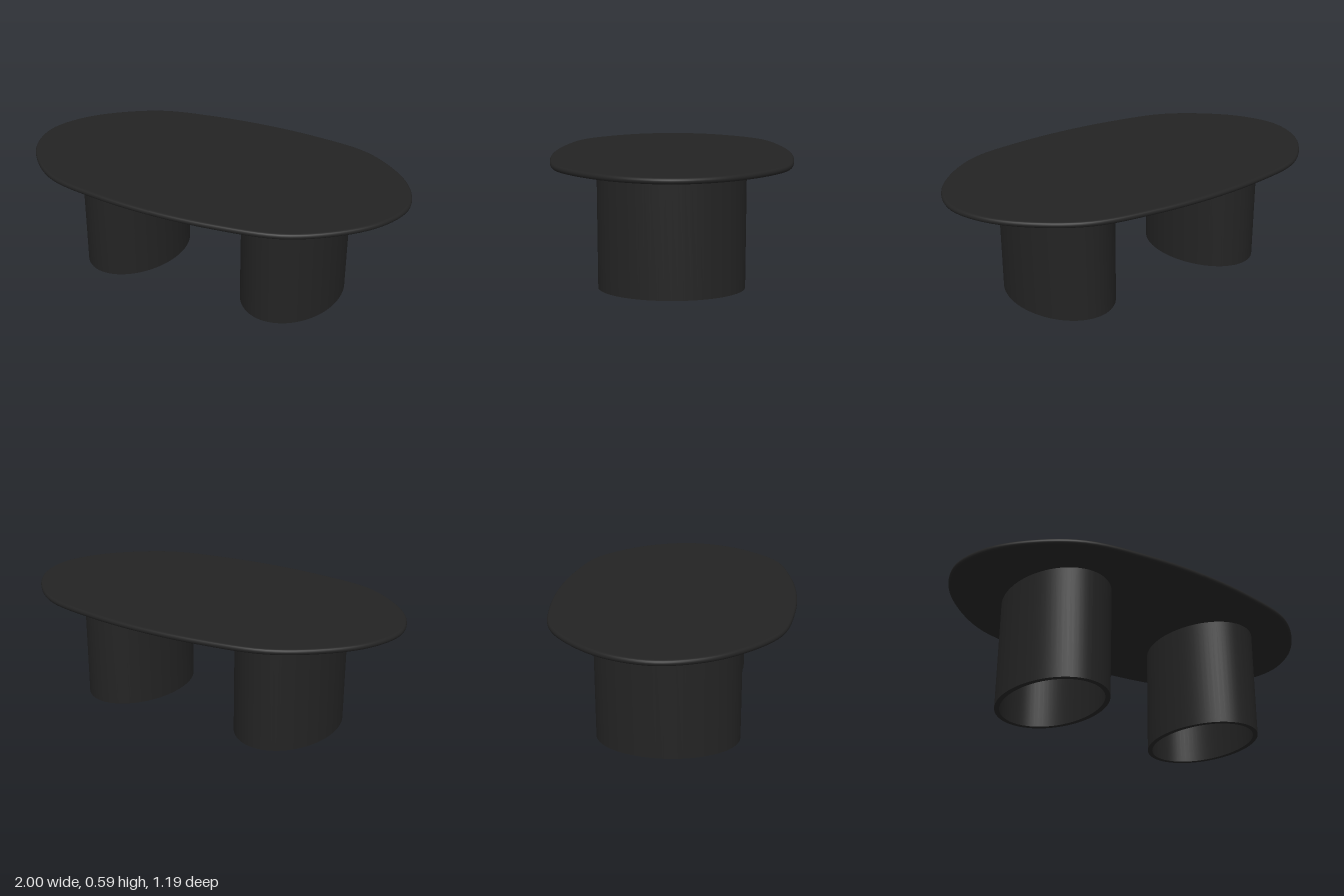
import * as THREE from 'three';

// Sweeps a profile of [inset from the outline, height] around a closed outline.
// An inset of null means the centre; repeated points keep an edge sharp.
function sweep(profile, outline, segments) {
  const points = profile.map(([inset, y]) => new THREE.Vector2(inset === null ? 0 : 1 - inset, y));
  const geometry = new THREE.LatheGeometry(points, segments);
  const pos = geometry.attributes.position;
  const uv = geometry.attributes.uv;
  for (let i = 0; i < pos.count; i++) {
    const r = Math.hypot(pos.getX(i), pos.getZ(i));
    const p = outline(uv.getX(i) % 1);
    const k = r < 1e-6 ? 0 : 1 - (1 - r) / p.length();
    pos.setX(i, p.x * k);
    pos.setZ(i, p.z * k);
  }
  geometry.computeVertexNormals();
  return geometry;
}

// Soft oval outline of the top, one quarter mirrored to four
function topOutline() {
  const quarter = [[0, 0.597], [0.32, 0.575], [0.61, 0.512], [0.81, 0.372], [0.945, 0.2], [1, 0]];
  const half = [...quarter, ...quarter.slice(0, -1).reverse().map(([x, z]) => [x, -z])];
  const full = [...half, ...half.slice(1, -1).reverse().map(([x, z]) => [-x, z])];
  const curve = new THREE.CatmullRomCurve3(full.map(([x, z]) => new THREE.Vector3(x, 0, z)), true);
  return (t) => curve.getPoint(t);
}

const ellipse = (a, b) => (t) =>
  new THREE.Vector3(a * Math.sin(t * Math.PI * 2), 0, b * Math.cos(t * Math.PI * 2));

export function createModel() {
  const group = new THREE.Group();
  const black = new THREE.MeshStandardMaterial({ color: 0x232323 });
  black.name = 'charcoal black';

  // Thin table top with a rounded rim
  const bottom = 0.56, thick = 0.026, radius = thick / 2;
  const rim = [];
  for (let i = 0; i <= 8; i++) {
    const a = -Math.PI / 2 + (i / 8) * Math.PI;
    rim.push([radius * (1 - Math.cos(a)), bottom + radius + radius * Math.sin(a)]);
  }
  const topProfile = [[null, bottom], rim[0], ...rim, rim[8], [null, bottom + thick]];
  const top = new THREE.Mesh(sweep(topProfile, topOutline(), 120), black);
  top.name = 'tableTop';
  group.add(top);

  // Two hollow oval legs, open at the floor
  const wall = 0.025, height = bottom + 0.005;
  const legProfile = [[wall, height], [wall, 0], [wall, 0], [0, 0], [0, 0], [0, height]];
  const legGeometry = sweep(legProfile, ellipse(0.243, 0.342), 72);
  for (const side of [-1, 1]) {
    const leg = new THREE.Mesh(legGeometry, black);
    leg.name = side > 0 ? 'leftLeg' : 'rightLeg';
    leg.position.x = side * 0.458;
    group.add(leg);
  }
  return group;
}
